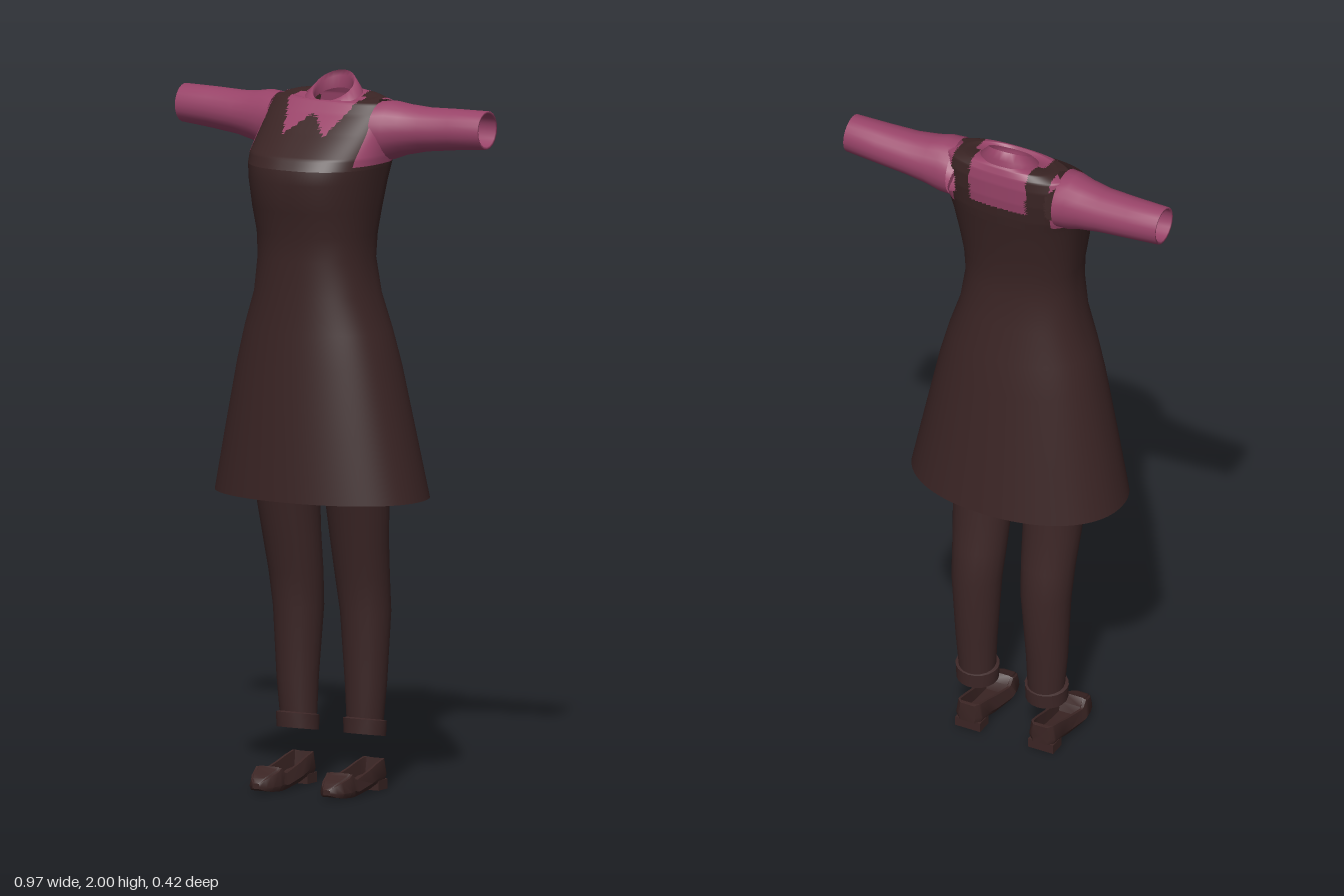
import * as THREE from 'three';
import { toCreasedNormals } from 'three/addons/utils/BufferGeometryUtils.js';

const mat = (name, color) => new THREE.MeshStandardMaterial({ name, color, side: THREE.DoubleSide });

// Skin closed rings of points; materialOf(x, y, z) gives a material index, or -1 for a hole.
function loft(rings, materialOf) {
  const n = rings[0].length, pos = rings.flat(2), faces = [[], []];
  const centre = (ids, k) => ids.reduce((s, i) => s + pos[i * 3 + k], 0) / 3;
  for (let i = 0; i < rings.length - 1; i++) {
    for (let j = 0; j < n; j++) {
      const a = i * n + j, b = i * n + (j + 1) % n;
      for (const t of [[a, b, b + n], [a, b + n, a + n]]) {
        const m = materialOf ? materialOf(centre(t, 0), centre(t, 1), centre(t, 2)) : 0;
        if (m >= 0) faces[m].push(...t);
      }
    }
  }
  const g = new THREE.BufferGeometry();
  g.setAttribute('position', new THREE.Float32BufferAttribute(pos, 3));
  g.setIndex(faces.flat());
  if (materialOf) {
    g.addGroup(0, faces[0].length, 0);
    g.addGroup(faces[0].length, faces[1].length, 1);
  }
  g.computeVertexNormals();
  return g;
}

// Horizontal section: half width a, front, back and widest z, squareness p, front lowered by tilt.
function section(n, cx, [y, a, zf, zb, zc = (zf + zb) / 2, p = 2, tilt = 0]) {
  const soft = (v) => Math.sign(v) * Math.abs(v) ** (2 / p);
  return Array.from({ length: n }, (_, j) => {
    const t = j / n * Math.PI * 2, c = soft(Math.cos(t));
    return [cx + a * soft(Math.sin(t)), y - tilt * (1 + c) / 2, zc + c * (c > 0 ? zf - zc : zc - zb)];
  });
}

// Insert evenly spaced rows between the given ones.
function refine(rows, step) {
  const out = [rows[0]];
  for (let i = 1; i < rows.length; i++) {
    const a = rows[i - 1], b = rows[i];
    const k = Math.ceil(Math.max(...a.slice(0, 4).map((v, j) => Math.abs(v - b[j]))) / step);
    for (let s = 1; s <= k; s++) out.push(a.map((v, j) => v + (b[j] - v) * s / k));
  }
  return out;
}

export function createModel() {
  const model = new THREE.Group();
  const dressMat = mat('dark brown cloth', 0x3a2424);
  const shirtMat = mat('plum shirt', 0x984368);
  const legMat = mat('brown trousers', 0x3c2626);
  const shoeMat = mat('brown leather', 0x3b2524);
  const add = (name, geometry, material, mirrored) => {
    for (const side of mirrored ? [1, -1] : [1]) {
      const mesh = new THREE.Mesh(geometry, material);
      mesh.name = mirrored ? (side > 0 ? 'left' : 'right') + name : name;
      mesh.scale.x = side;
      model.add(mesh);
    }
  };

  // Dress and shirt yoke: y, half width, front z, back z, widest z, squareness, tilt
  const lower = [
    [0.83, 0.318, 0.21, -0.21, 0.005, 2.15, 0],
    [1.0, 0.283, 0.203, -0.183, 0.01, 2.15, 0],
    [1.2, 0.24, 0.19, -0.15, 0.015, 2.2, 0],
    [1.3, 0.214, 0.182, -0.133, 0.02, 2.2, 0],
    [1.4, 0.18, 0.176, -0.11, 0.02, 2.3, 0],
    [1.5, 0.166, 0.175, -0.096, 0.025, 2.3, 0],
    [1.57, 0.17, 0.178, -0.097, 0.02, 2.3, 0],
    [1.64, 0.18, 0.195, -0.106, 0.015, 2.35, 0],
    [1.72, 0.19, 0.21, -0.12, 0, 2.4, 0],
    [1.76, 0.196, 0.203, -0.128, -0.01, 2.45, 0],
  ];
  const upper = [
    lower[lower.length - 1],
    [1.79, 0.199, 0.186, -0.133, -0.025, 2.5, 0],
    [1.85, 0.199, 0.108, -0.14, -0.05, 2.5, 0],
    [1.9, 0.195, 0.045, -0.141, -0.06, 2.5, 0],
    [1.93, 0.182, 0.015, -0.137, -0.065, 2.4, 0],
    [1.948, 0.14, 0.008, -0.13, -0.065, 2.2, 0.015],
    [1.957, 0.09, 0.002, -0.122, -0.06, 2, 0.035],
    [1.962, 0.062, -0.002, -0.116, -0.058, 2, 0.045],
  ];
  const yokeColour = (px, y, z) => {
    const x = Math.abs(px);
    const inSleeve = ((y - 1.862) / 0.075) ** 2 + ((z + 0.06) / 0.07) ** 2 < 1;
    if (x > 0.14 && inSleeve) return -1;
    if (z > -0.06) {
      const lobe = 1.845 + (x < 0.065 ? (0.065 - x) * 0.9 : (x - 0.065) * 2);
      return (x < 0.108 && y > lobe) || (x > 0.168 && y > 1.77) ? 1 : 0;
    }
    return (x < 0.088 && y > 1.82) || (x > 0.152 && y > 1.775) ? 1 : 0;
  };
  add('dress', loft(lower.map((r) => section(112, 0, r))), dressMat);
  add('yoke', loft(refine(upper, 0.006).map((r) => section(112, 0, r)), yokeColour), [dressMat, shirtMat]);
  const hem = section(112, 0, lower[0]);
  add('skirtUnderside', loft([hem.map(() => [0, 0.832, 0]), hem]), dressMat);

  // Standing collar folded over its rim, open at the top
  const collar = [
    [1.955, 0.09, 0.025, -0.128, -0.058, 2, 0.052],
    [1.972, 0.082, 0.012, -0.125, -0.058, 2, 0.058],
    [2.0, 0.06, 0.0, -0.117, -0.058, 2, 0.072],
    [1.985, 0.054, -0.006, -0.11, -0.058, 2, 0.065],
    [1.95, 0.056, -0.004, -0.112, -0.058, 2, 0.045],
  ];
  add('collar', loft(collar.map((r) => section(24, 0, r))), shirtMat);

  // Sleeves: x, centre y, half height, centre z, half depth
  const sleeve = [
    [0.165, 1.853, 0.082, -0.047, 0.084], [0.2, 1.856, 0.082, -0.052, 0.079],
    [0.24, 1.86, 0.071, -0.058, 0.072], [0.3, 1.864, 0.062, -0.064, 0.065],
    [0.39, 1.87, 0.058, -0.069, 0.059], [0.487, 1.875, 0.054, -0.071, 0.054],
    [0.486, 1.875, 0.047, -0.071, 0.047], [0.4, 1.87, 0.049, -0.069, 0.049],
  ];
  add('Sleeve', loft(sleeve.map(([x, cy, ry, cz, rz]) => Array.from({ length: 20 }, (_, j) => {
    const t = j / 20 * Math.PI * 2;
    return [x, cy - ry * Math.sin(t), cz + rz * Math.cos(t)];
  }))), shirtMat, true);

  // Trouser legs: centre x, then a section
  const leg = [
    [0.107, [0.18, 0.052, 0.0, -0.097]], [0.11, [0.3, 0.06, 0.008, -0.105]],
    [0.108, [0.5, 0.072, 0.02, -0.12]], [0.107, [0.6, 0.078, 0.038, -0.107]],
    [0.109, [0.7, 0.084, 0.06, -0.092]], [0.112, [0.832, 0.092, 0.09, -0.083]],
  ];
  add('TrouserLeg', loft(leg.map(([cx, r]) => section(20, cx, r))), legMat, true);

  // Turned-up cuffs
  const cuff = [
    [0.19, 0.046, -0.005, -0.09], [0.15, 0.05, 0.002, -0.092], [0.146, 0.061, 0.009, -0.1],
    [0.188, 0.063, 0.01, -0.102], [0.191, 0.05, 0, -0.095],
  ].map(([y, a, f, b]) => section(20, 0.108, [y, a, f, b, (f + b) / 2, 2, -0.018]));
  add('TrouserCuff', toCreasedNormals(loft(cuff), 0.7), legMat, true);

  // Slip-on shoes: z, half width, bottom, top, inner floor
  const shoe = [
    [-0.097, 0.026, 0.026, 0.083, 0.083], [-0.086, 0.04, 0.022, 0.086, 0.084],
    [-0.08, 0.042, 0.022, 0.085, 0.04], [-0.045, 0.044, 0.022, 0.077, 0.038],
    [0.0, 0.047, 0.012, 0.064, 0.028], [0.075, 0.051, 0.003, 0.047, 0.02],
    [0.084, 0.051, 0.002, 0.05, 0.046], [0.1, 0.05, 0.001, 0.065, 0.067],
    [0.112, 0.048, 0.001, 0.056, 0.06], [0.14, 0.039, 0.003, 0.046, 0.05],
    [0.158, 0.028, 0.007, 0.038, 0.041], [0.171, 0.012, 0.013, 0.027, 0.028],
  ].map(([z, w, b, t, f]) => {
    const half = [[0.82, b], [1, b + (t - b) * 0.3], [0.82, t], [0.66, t], [0.6, f]];
    return [...half.map(([k, y]) => [0.114 + w * k, y, z]),
      ...half.reverse().map(([k, y]) => [0.114 - w * k, y, z])];
  });
  const cap = (ring, y) => ring.map((p) => [0.114, y, p[2]]);
  add('Shoe', toCreasedNormals(loft([cap(shoe[0], 0.05), ...shoe, cap(shoe[11], 0.02)]), 0.7), shoeMat, true);
  const heel = new THREE.BoxGeometry(0.078, 0.028, 0.05).translate(0.114, 0.014, -0.069);
  add('ShoeHeel', heel, shoeMat, true);
  return model;
}
